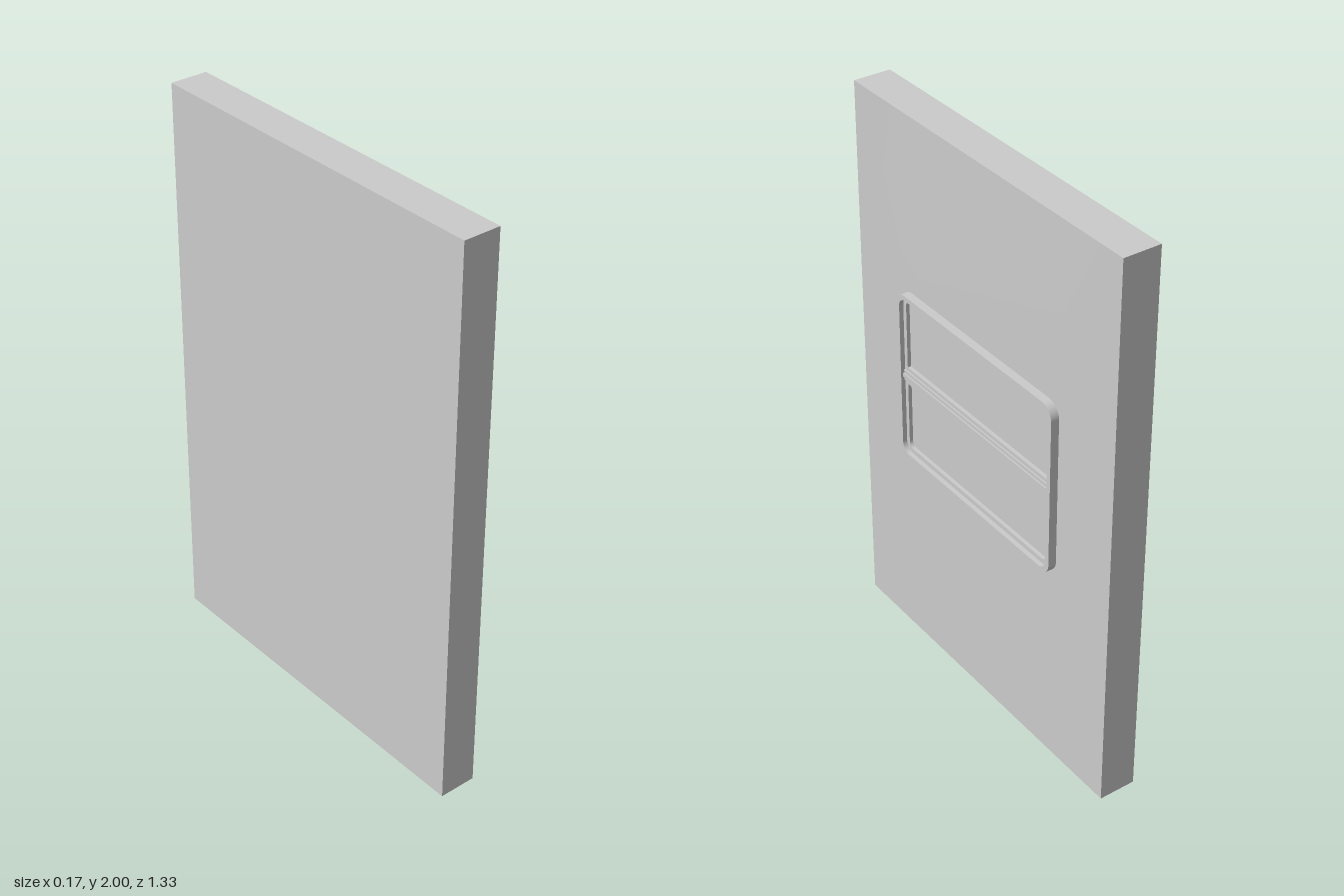
import * as THREE from 'three';

const grey = new THREE.MeshStandardMaterial({ color: 0xcccccc });

// Rounded rectangle in the (z, y) plane of the panel
function roundedRect(Type, halfWidth, bottom, top, r) {
  const p = new Type(), w = halfWidth;
  p.moveTo(-w + r, bottom);
  p.lineTo(w - r, bottom);
  p.absarc(w - r, bottom + r, r, -Math.PI / 2, 0);
  p.lineTo(w, top - r);
  p.absarc(w - r, top - r, r, 0, Math.PI / 2);
  p.lineTo(-w + r, top);
  p.absarc(-w + r, top - r, r, Math.PI / 2, Math.PI);
  p.lineTo(-w, bottom + r);
  p.absarc(-w + r, bottom + r, r, Math.PI, Math.PI * 1.5);
  return p;
}

// Ring between two rounded rectangles, extruded along x
function ring(name, outer, inner, x0, x1) {
  const shape = roundedRect(THREE.Shape, ...outer);
  shape.holes.push(roundedRect(THREE.Path, ...inner));
  const geo = new THREE.ExtrudeGeometry(shape, { depth: x1 - x0, bevelEnabled: false, curveSegments: 8 });
  geo.rotateY(Math.PI / 2).translate(x0, 0, 0);
  const mesh = new THREE.Mesh(geo, grey);
  mesh.name = name;
  return mesh;
}

// Slab whose +x face swells slightly towards the window
function panel() {
  const geo = new THREE.BoxGeometry(0.132, 2, 1.33, 1, 3, 3);
  geo.translate(-0.019, 1, 0);
  const pos = geo.attributes.position;
  for (let i = 0; i < pos.count; i++) {
    const y = pos.getY(i), z = pos.getZ(i);
    const midY = y > 0.1 && y < 1.9, midZ = Math.abs(z) < 0.6;
    if (midY) pos.setY(i, y > 1 ? 1.387 : 0.756);
    if (midZ) pos.setZ(i, Math.sign(z) * 0.41);
    if (midY && midZ && pos.getX(i) > 0) pos.setX(i, 0.053);
  }
  geo.computeVertexNormals();
  const mesh = new THREE.Mesh(geo, grey);
  mesh.name = 'panel';
  return mesh;
}

export function createModel() {
  const group = new THREE.Group();
  group.name = 'windowPanel';
  group.add(panel());

  // Stepped window frame
  const outer = [0.41, 0.756, 1.387, 0.05];
  const middle = [0.392, 0.775, 1.37, 0.035];
  const inner = [0.376, 0.792, 1.358, 0.022];
  group.add(ring('outerFrame', outer, middle, 0.046, 0.082));
  group.add(ring('innerFrame', middle, inner, 0.046, 0.066));

  // Stepped bar between the two panes
  const bar = new THREE.Group();
  bar.name = 'crossBar';
  [[0.064, 0.066, 0.376], [0.038, 0.071, 0.39], [0.014, 0.076, 0.39]].forEach(([height, front, half], i) => {
    const step = new THREE.Mesh(new THREE.BoxGeometry(front - 0.046, height, half * 2), grey);
    step.position.set((front + 0.046) / 2, 1.073, 0);
    step.name = `crossBarStep${i + 1}`;
    bar.add(step);
  });
  group.add(bar);
  return group;
}
